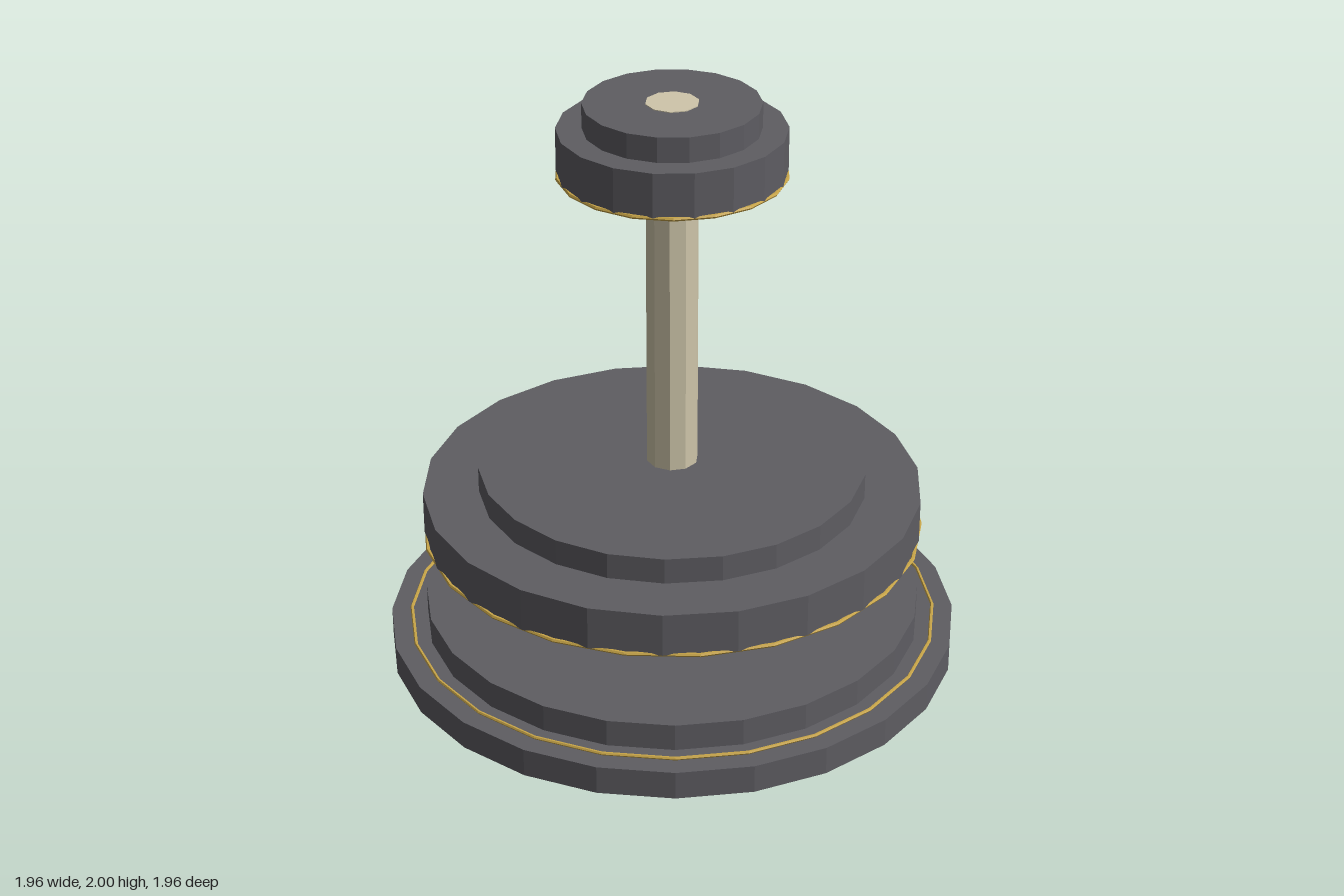
import * as THREE from 'three';

export function createModel() {
  const model = new THREE.Group();
  const flat = (name, color) => {
    const m = new THREE.MeshStandardMaterial({ color });
    m.name = name;
    m.flatShading = true;
    return m;
  };
  const grey = flat('dark grey', 0x5e5d62);
  const ivory = flat('ivory', 0xcfc6aa);
  const gold = flat('gold', 0xc8a548);

  const add = (name, geometry, material, x, y, z) => {
    const mesh = new THREE.Mesh(geometry, material);
    mesh.name = name;
    mesh.position.set(x, y, z);
    model.add(mesh);
  };
  // Upright faceted cylinder between two heights
  const disc = (name, r, y0, y1, sides, material = grey, x = 0, z = 0) =>
    add(name, new THREE.CylinderGeometry(r, r, y1 - y0, sides), material, x, (y0 + y1) / 2, z);
  // Thin horizontal trim ring
  const ring = (name, r, tube, y, sides, x = 0, z = 0) =>
    add(name, new THREE.TorusGeometry(r, tube, 6, sides).rotateX(Math.PI / 2), gold, x, y, z);

  // Stepped base
  disc('basePlate', 0.98, 0, 0.1, 24);
  disc('baseStep', 0.855, 0.1, 0.195, 24);
  ring('baseTrim', 0.91, 0.006, 0.106, 24);

  // Middle tier
  disc('middleTier', 0.85, 0.46, 0.61, 22);
  disc('middleStep', 0.66, 0.61, 0.7, 22);
  ring('middleTrim', 0.85, 0.007, 0.46, 22);

  // Top cap
  disc('topCap', 0.375, 1.76, 1.912, 18);
  disc('topStep', 0.29, 1.912, 1.997, 18);
  ring('topTrim', 0.374, 0.007, 1.76, 18);

  // Central column, its end showing through the cap
  disc('column', 0.088, 0.19, 2, 10, ivory);

  // Small post with a collar at the back of the base
  disc('post', 0.013, 0.1, 0.36, 8, grey, 0.35, -0.843);
  ring('postCollar', 0.034, 0.004, 0.146, 12, 0.35, -0.843);

  return model;
}
